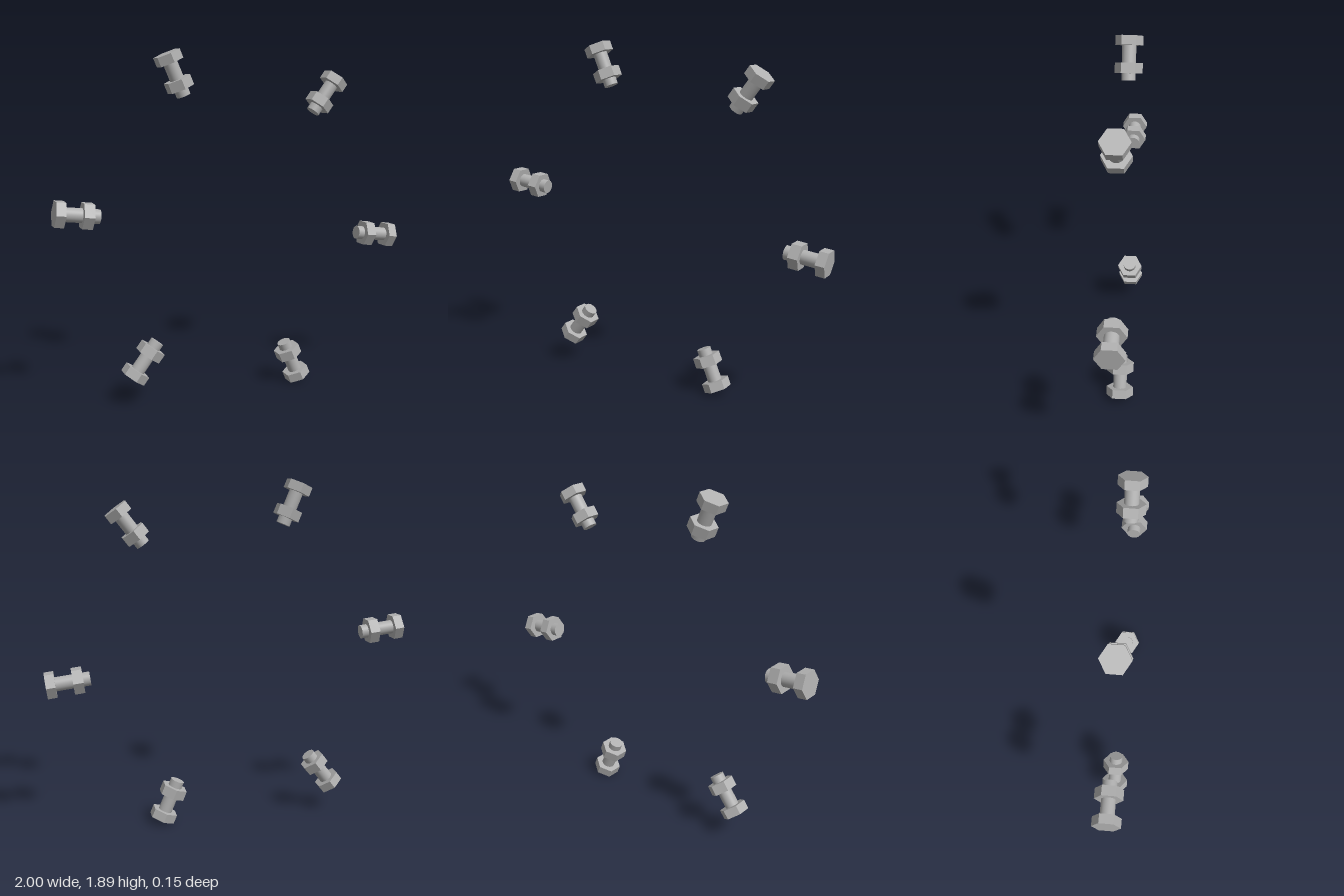
import * as THREE from 'three';

const steel = new THREE.MeshStandardMaterial({ color: 0xb0b0b0 });
steel.name = 'steel';

// Faceted hexagonal prism with corners at +z and -z, from y0 to y1
function hexPrism(name, y0, y1) {
  const geo = new THREE.CylinderGeometry(0.075, 0.075, y1 - y0, 6).toNonIndexed();
  geo.computeVertexNormals();
  geo.translate(0, (y0 + y1) / 2, 0);
  const mesh = new THREE.Mesh(geo, steel);
  mesh.name = name;
  return mesh;
}

// One bolt lying along +y, with its head outermost
function createBolt() {
  const bolt = new THREE.Group();
  const shaftGeo = new THREE.CylinderGeometry(0.038, 0.038, 0.195, 32);
  shaftGeo.translate(0, 0.8625, 0);
  const shaft = new THREE.Mesh(shaftGeo, steel);
  shaft.name = 'shaft';
  bolt.add(hexPrism('head', 0.95, 1.0), hexPrism('nut', 0.803, 0.858), shaft);
  return bolt;
}

export function createModel() {
  const model = new THREE.Group();
  model.name = 'boltCircle';
  // Six bolts pointing inward around a ring
  for (let i = 0; i < 6; i++) {
    const bolt = createBolt();
    bolt.name = `bolt${i + 1}`;
    bolt.position.y = 0.947;
    bolt.rotation.z = THREE.MathUtils.degToRad(i * 60 - 7.2 - 90);
    model.add(bolt);
  }
  return model;
}
